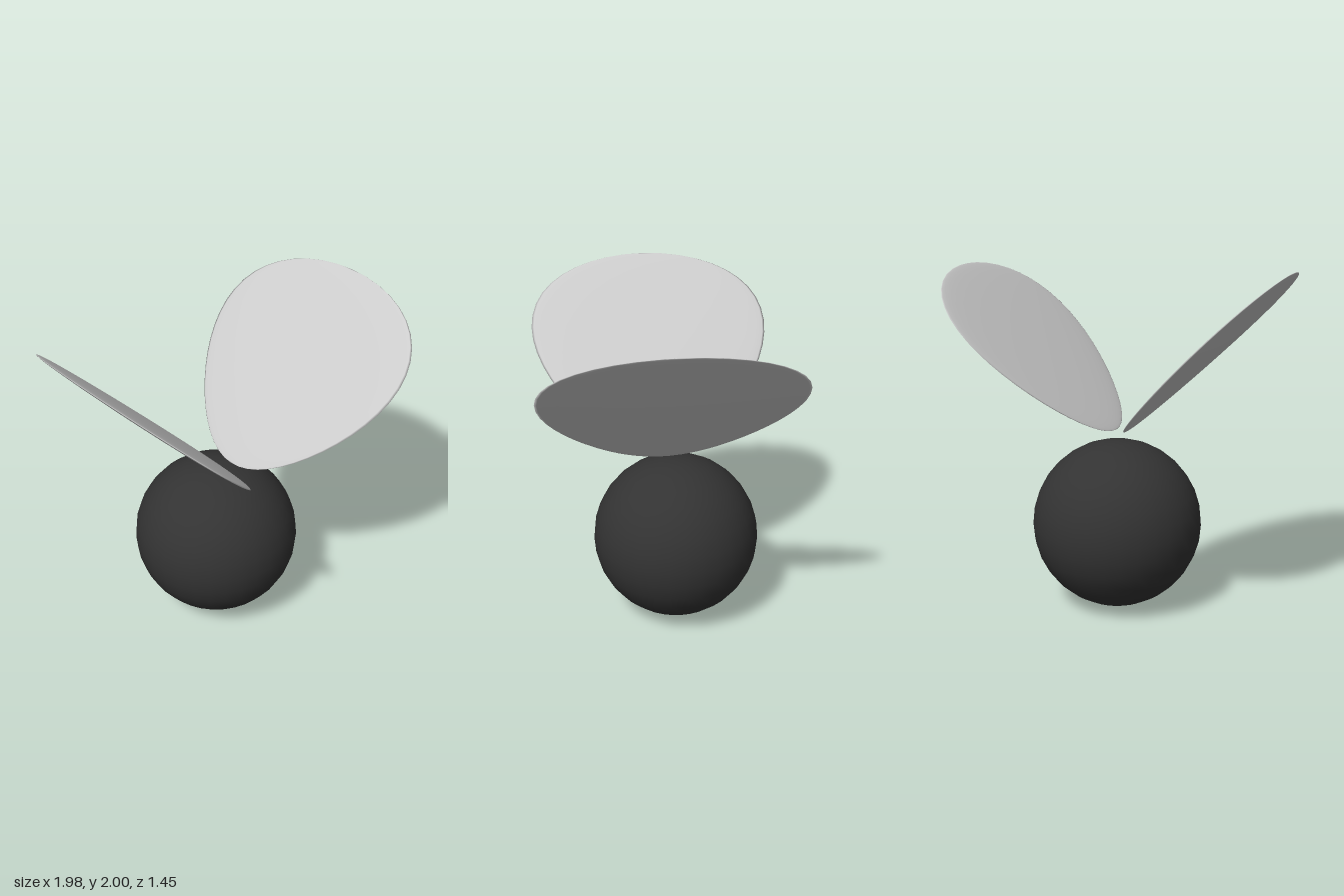
import * as THREE from 'three';
import { mergeVertices } from 'three/addons/utils/BufferGeometryUtils.js';

const WING_LENGTH = 1.35;
const WING_HALF_THICKNESS = 0.02;

// Thin egg-shaped lens: root at the origin, length along +y, breadth along z
function wingGeometry() {
  let geo = new THREE.SphereGeometry(1, 32, 24);
  const p = geo.attributes.position;
  for (let i = 0; i < p.count; i++) {
    const s = (p.getY(i) + 1) / 2; // 0 at the root, 1 at the tip
    p.setXYZ(
      i,
      p.getX(i) * WING_HALF_THICKNESS,
      s * WING_LENGTH,
      p.getZ(i) * (0.5 + 0.4 * s) // broader towards the tip
    );
  }
  geo.deleteAttribute('uv');
  geo.deleteAttribute('normal');
  geo = mergeVertices(geo, 1e-5);
  geo.computeVertexNormals();
  return geo;
}

export function createModel() {
  const model = new THREE.Group();
  model.name = 'wingedBall';

  // Dark ball, set slightly back
  const ball = new THREE.Mesh(
    new THREE.SphereGeometry(0.5, 32, 16),
    new THREE.MeshStandardMaterial({ color: 0x333333 })
  );
  ball.name = 'body';
  ball.position.set(0, 0.503, -0.095);
  model.add(ball);

  // Two wings opening in a V above the ball
  const geo = wingGeometry();
  const wingMaterial = new THREE.MeshStandardMaterial({ color: 0xcccccc });
  for (const side of [1, -1]) {
    const wing = new THREE.Mesh(geo, wingMaterial);
    wing.name = side > 0 ? 'leftWing' : 'rightWing';
    wing.position.set(side * 0.037, 1.045, 0);
    wing.rotation.z = -side * Math.PI / 4;
    model.add(wing);
  }
  return model;
}
